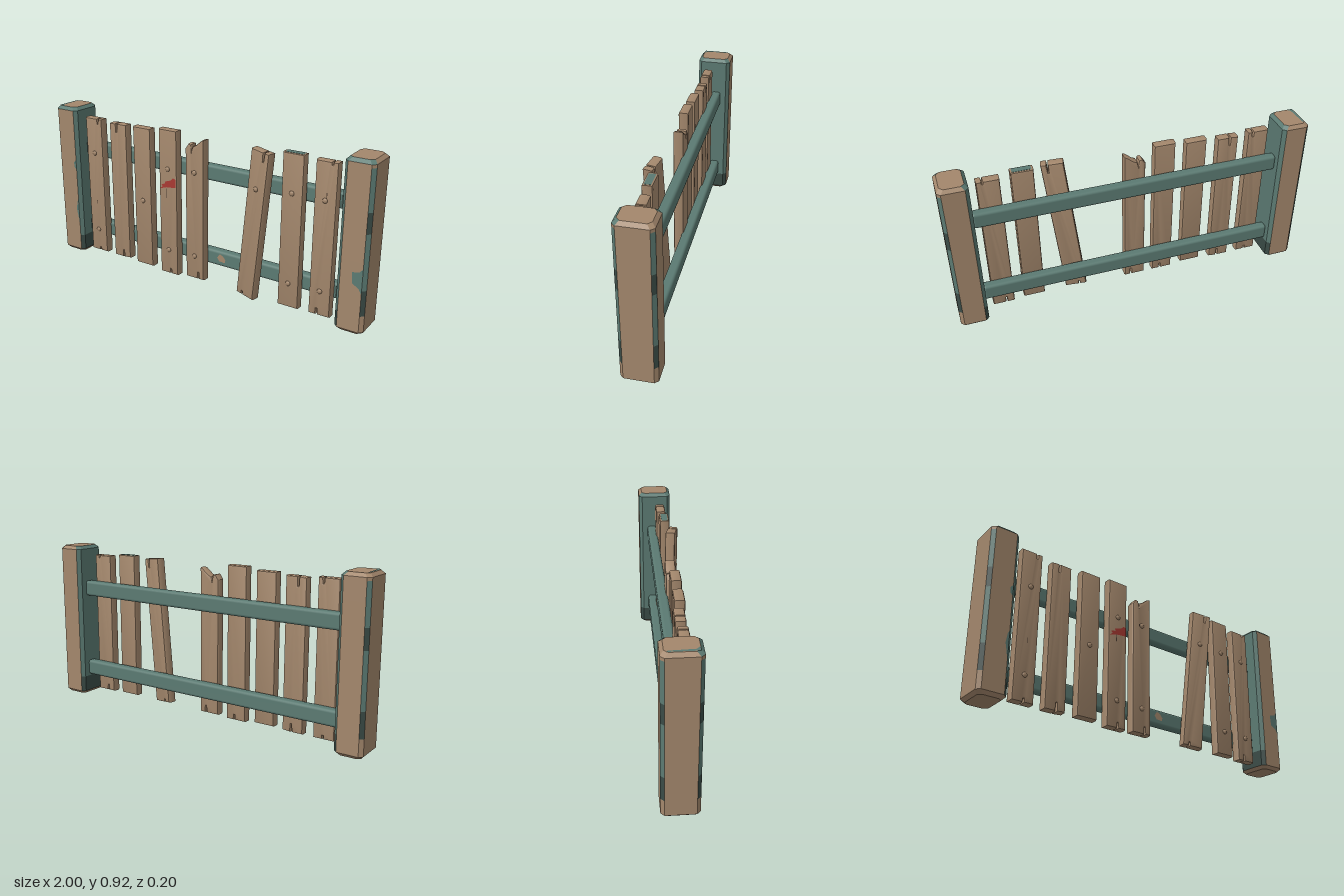
import * as THREE from 'three';
import { RoundedBoxGeometry } from 'three/addons/geometries/RoundedBoxGeometry.js';
import { toCreasedNormals } from 'three/addons/utils/BufferGeometryUtils.js';

const material = (name, color) => {
  const m = new THREE.MeshStandardMaterial({ color });
  m.name = name;
  return m;
};

export function createModel() {
  const model = new THREE.Group();
  model.name = 'brokenFence';
  const wood = material('bareWood', 0xa3876c);
  const teal = material('tealPaint', 0x5b7a72);
  const darkTeal = material('wornDarkPaint', 0x3a4b46);
  const red = material('redPaint', 0xa83a32);
  const crackMat = material('darkCrack', 0x4c3d31);

  const add = (parent, name, geometry, mat, x = 0, y = 0, z = 0) => {
    const mesh = new THREE.Mesh(geometry, mat);
    mesh.name = name;
    mesh.position.set(x, y, z);
    parent.add(mesh);
    return mesh;
  };
  const shapeOf = pts => new THREE.Shape(pts.map(p => new THREE.Vector2(...p)));
  const patch = (parent, name, pts, mat, z) =>
    add(parent, name, new THREE.ShapeGeometry(shapeOf(pts)), mat, 0, 0, z);

  // Posts: chamfered octagonal loops, each face filed under its paint colour
  const octagon = (y, inset) => {
    const c = 0.019, w = 0.078 - inset, d = 0.096 - inset;
    return [[w, d - c], [w, c - d], [w - c, -d], [c - w, -d], [-w, c - d], [-w, d - c], [c - w, d], [w - c, d]]
      .map(([x, z]) => [x, y, z]);
  };
  const sideX = [1, 1, 0, -1, -1, -1, 0, 1];
  const postMats = [wood, teal, darkTeal];

  function paintOf(side, y, s) {
    const inner = sideX[side] * s < 0;
    const chamfer = side % 2 === 1;
    if (y > 0.9) return inner || side === 6 || side === 5 || side === 7 ? 1 : 0;
    if (y < 0.03) return 0;
    if (inner && !chamfer) return y < 0.1 ? 2 : 1;
    if (!chamfer) return 0;
    if (inner) return y < 0.12 ? 2 : 1;
    if (y < 0.11 || y > 0.88) return 0;
    return y < 0.25 || (y > 0.55 && y < 0.66) ? 2 : 1;
  }

  function makePost(s) {
    const rows = [0.018, 0.11, 0.25, 0.4, 0.55, 0.66, 0.78, 0.88, 0.897];
    const loops = [octagon(0, 0.017), ...rows.map(y => octagon(y, 0)), octagon(0.915, 0.017)];
    const faces = [[], [], []];
    for (let r = 0; r < loops.length - 1; r++) {
      const lo = loops[r], hi = loops[r + 1];
      for (let i = 0; i < 8; i++) {
        const j = (i + 1) % 8;
        const out = faces[paintOf(i, (lo[0][1] + hi[0][1]) / 2, s)];
        out.push(...lo[i], ...lo[j], ...hi[j], ...lo[i], ...hi[j], ...hi[i]);
      }
    }
    const bottom = loops[0], top = loops[loops.length - 1];
    for (let i = 1; i < 7; i++) {
      faces[0].push(...top[0], ...top[i], ...top[i + 1]);
      faces[0].push(...bottom[0], ...bottom[i + 1], ...bottom[i]);
    }
    const g = new THREE.BufferGeometry();
    g.setAttribute('position', new THREE.Float32BufferAttribute(faces.flat(), 3));
    let start = 0;
    faces.forEach((f, i) => {
      g.addGroup(start, f.length / 3, i);
      start += f.length / 3;
    });
    g.computeVertexNormals();
    add(model, s > 0 ? 'leftPost' : 'rightPost', g, postMats, s * 0.922);
  }
  makePost(-1);
  makePost(1);

  // Worn paint left along the post edges
  patch(model, 'postPaint', [[-0.863, 0.19], [-0.863, 0.35], [-0.873, 0.33], [-0.88, 0.28], [-0.872, 0.24]], teal, 0.097);
  patch(model, 'postPaint', [[-0.863, 0.54], [-0.863, 0.6], [-0.88, 0.58], [-0.876, 0.55]], teal, 0.097);
  patch(model, 'postPaint', [[0.981, 0.23], [0.981, 0.37], [0.965, 0.35], [0.925, 0.34], [0.93, 0.28], [0.965, 0.26]], teal, 0.097);
  const topPaint = patch(model, 'postTopPaint', [[-0.98, -0.078], [-0.945, -0.078], [-0.965, -0.06], [-0.97, 0.06], [-0.98, 0.07]], teal, 0);
  topPaint.rotation.x = -Math.PI / 2;
  topPaint.position.y = 0.916;

  // Rails, with darker paint beside the posts
  for (const y of [0.165, 0.66]) {
    add(model, 'rail', new RoundedBoxGeometry(1.7, 0.09, 0.056, 2, 0.016), teal, 0, y, -0.018);
    for (const s of [-1, 1]) {
      add(model, 'railEndShade', new THREE.BoxGeometry(0.035, 0.062, 0.002), darkTeal, s * 0.828, y, 0.0105);
    }
  }
  patch(model, 'railChip', [[0.09, 0.17], [0.105, 0.15], [0.14, 0.148], [0.145, 0.165], [0.13, 0.185], [0.108, 0.195]], wood, 0.0115);

  // Planks: bevelled outlines; slits are [x, depth] cuts into an end
  const W = 0.06, DEPTH = 0.056, BEVEL = 0.011;
  const slit = (x, end, tip) => [[x - 0.004, end], [x - 0.0015, tip], [x + 0.0015, tip], [x + 0.004, end]];

  function plankGeometry(y0, y1, { topSlit, bottomSlit, topPts, skew = 0 }) {
    const pts = [[-W, y0]];
    if (bottomSlit) pts.push(...slit(bottomSlit[0], y0, y0 + bottomSlit[1]));
    pts.push([W, y0 + skew]);
    if (topPts) pts.push(...topPts);
    else {
      pts.push([W, y1]);
      if (topSlit) pts.push(...slit(topSlit[0], y1, y1 - topSlit[1]).reverse());
      pts.push([-W, y1 - skew]);
    }
    const g = new THREE.ExtrudeGeometry(shapeOf(pts), {
      depth: DEPTH - 2 * BEVEL, bevelThickness: BEVEL, bevelSize: BEVEL, bevelOffset: -BEVEL, bevelSegments: 2,
    });
    g.translate(0, 0, BEVEL);
    return toCreasedNormals(g, 0.6);
  }

  const planks = [
    { x: -0.745, y0: 0.025, y1: 0.862, z: 0, nails: [0.165, 0.652], topSlit: [0.03, 0.03], bottomSlit: [0.005, 0.02] },
    { x: -0.565, y0: 0.025, y1: 0.855, z: -0.002, nails: [], topSlit: [-0.012, 0.05], bottomSlit: [0.008, 0.045], skew: 0.004 },
    { x: -0.385, y0: 0.027, y1: 0.862, z: 0.01, nails: [0.43] },
    { x: -0.205, y0: 0.015, y1: 0.876, z: 0.01, nails: [0.165, 0.652], bottomSlit: [0.01, 0.03] },
    {
      x: -0.033, y0: 0.025, y1: 0.85, z: 0, nails: [0.165, 0.66], bottomSlit: [0.022, 0.04],
      topPts: [[W, 0.85], [0.045, 0.846], [0.008, 0.815], [-0.013, 0.805], [-0.018, 0.78], [-0.022, 0.815], [-0.04, 0.818], [-W, 0.79]],
    },
    { x: 0.318, y0: 0, y1: 0.848, z: 0.022, lean: true, nails: [0.64], topSlit: [0.025, 0.05], bottomSlit: [-0.02, 0.02] },
    { x: 0.565, y0: 0.027, y1: 0.874, z: 0.01, nails: [0.165, 0.665] },
    { x: 0.742, y0: 0.025, y1: 0.862, z: 0, nails: [0.165, 0.66], bottomSlit: [-0.015, 0.035], topSlit: [0.028, 0.015] },
  ];

  const nailGeometry = new THREE.SphereGeometry(0.014, 12, 8);
  nailGeometry.scale(1, 1, 0.6);
  planks.forEach((p, i) => {
    const plank = new THREE.Group();
    plank.name = p.lean ? 'loosePlank' : 'plank' + (i + 1);
    plank.position.set(p.x, p.lean ? 0.02 : 0, p.z);
    if (p.lean) plank.rotation.set(0, -0.22, -0.106);
    add(plank, 'board', plankGeometry(p.y0, p.y1, p), wood);
    for (const y of p.nails) add(plank, 'nail', nailGeometry, wood, 0, y, DEPTH);
    model.add(plank);
  });

  // Short cracks in the board faces
  for (const [x, y, length, z] of [[-0.745, 0.35, 0.05, 0.0565], [-0.214, 0.52, 0.09, 0.0665], [-0.05, 0.66, 0.05, 0.0565], [0.75, 0.69, 0.05, 0.0565]]) {
    patch(model, 'crack', [[x, y - length / 2], [x + 0.003, y], [x, y + length / 2], [x - 0.002, y]], crackMat, z);
  }

  // Red brush stroke and a leftover strip of teal on a plank top
  patch(model, 'redStroke', [[-0.26, 0.53], [-0.215, 0.545], [-0.15, 0.552], [-0.15, 0.6], [-0.168, 0.607],
    [-0.185, 0.59], [-0.225, 0.577], [-0.222, 0.565], [-0.25, 0.558], [-0.24, 0.547]], red, 0.067);
  add(model, 'plankTopPaint', new THREE.BoxGeometry(0.1, 0.004, 0.036), teal, 0.565, 0.873, 0.038);

  return model;
}
